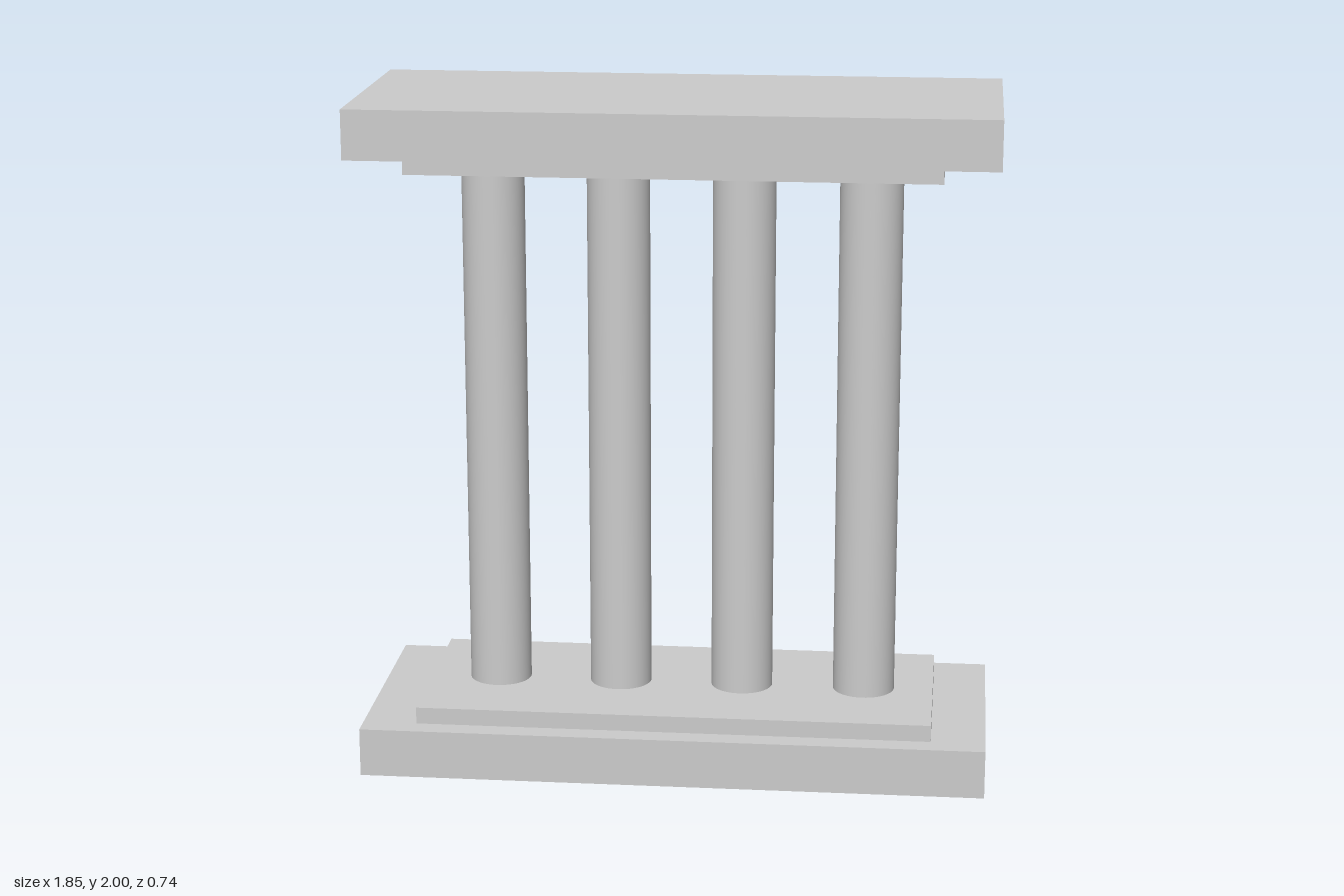
import * as THREE from 'three';

export function createModel() {
  const model = new THREE.Group();
  const material = new THREE.MeshStandardMaterial({ color: 0xcccccc });

  const add = (name, geometry, x, y) => {
    const mesh = new THREE.Mesh(geometry, material);
    mesh.name = name;
    mesh.position.set(x, y, 0);
    model.add(mesh);
  };

  const slabH = 0.145, stepH = 0.05, height = 2;
  const slab = new THREE.BoxGeometry(1.85, slabH, 0.74);
  const step = new THREE.BoxGeometry(1.53, stepH, 0.61);

  // Base and its mirrored counterpart at the top
  add('baseSlab', slab, 0, slabH / 2);
  add('baseStep', step, 0, slabH + stepH / 2);
  add('topStep', step, 0, height - slabH - stepH / 2);
  add('topSlab', slab, 0, height - slabH / 2);

  // Row of four round columns between the steps
  const columnH = height - 2 * (slabH + stepH);
  const column = new THREE.CylinderGeometry(0.0925, 0.0925, columnH, 48);
  for (let i = 0; i < 4; i++) {
    add(`column${i + 1}`, column, (i - 1.5) * 0.37, height / 2);
  }

  return model;
}
